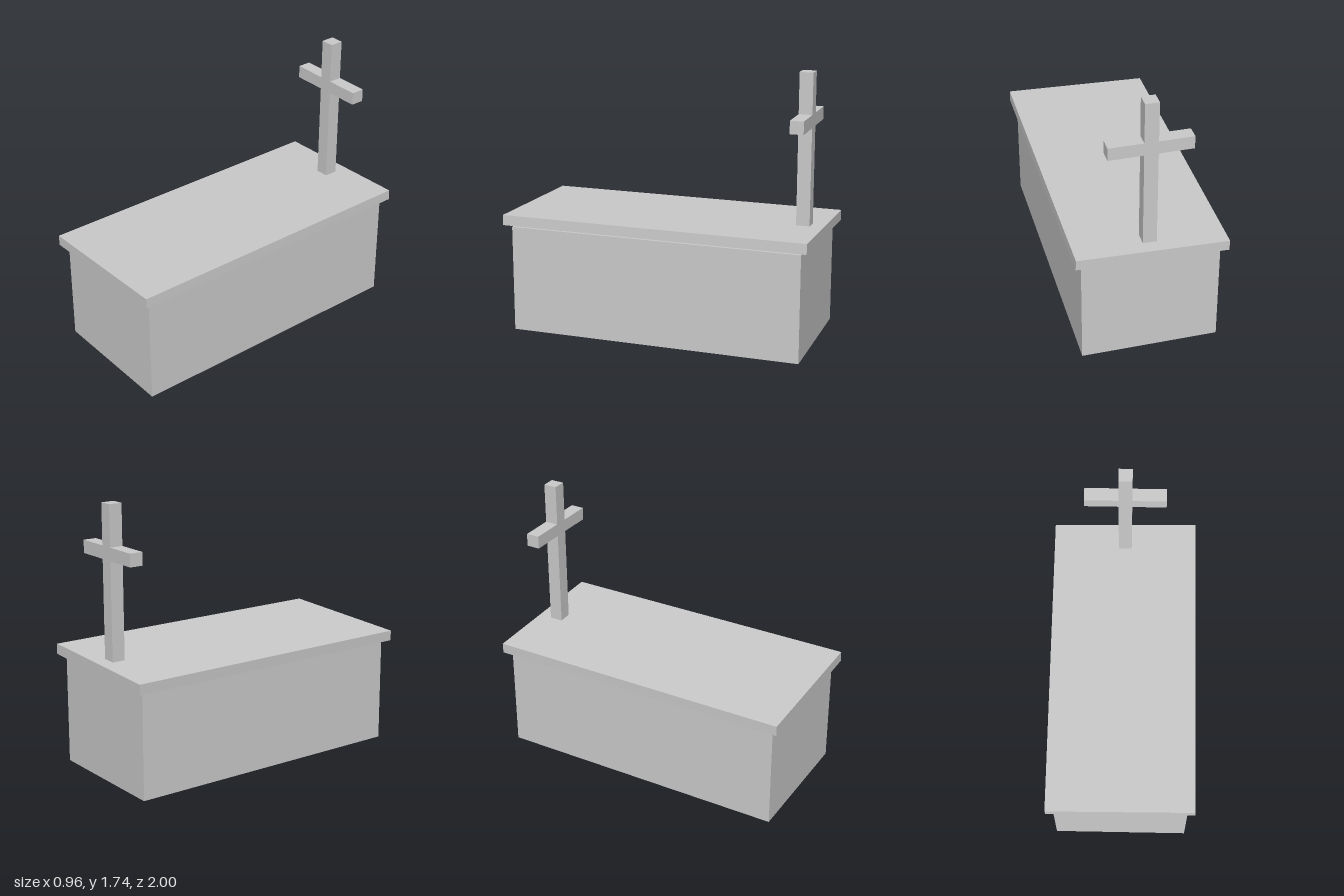
import * as THREE from 'three';

const material = new THREE.MeshStandardMaterial({ color: 0xcccccc });

// Named box, positioned by its centre
function box(name, [w, h, d], [x, y, z]) {
  const mesh = new THREE.Mesh(new THREE.BoxGeometry(w, h, d), material);
  mesh.name = name;
  mesh.position.set(x, y, z);
  return mesh;
}

export function createModel() {
  const tomb = new THREE.Group();
  tomb.name = 'tomb';

  // Stone chest
  const chestHeight = 0.697;
  tomb.add(box('chest', [0.87, chestHeight, 1.912], [0, chestHeight / 2, 0]));

  // Overhanging lid, tipped slightly to one side
  const lid = box('lid', [0.954, 0.067, 2], [-0.001, 0.733, 0]);
  lid.rotation.z = THREE.MathUtils.degToRad(2);
  tomb.add(lid);

  // Upright cross through the lid at the back end
  const cross = new THREE.Group();
  cross.name = 'cross';
  cross.position.set(-0.001, 0, -0.868);
  const top = 1.74;
  cross.add(
    box('crossPost', [0.087, top - chestHeight, 0.087], [0, (top + chestHeight) / 2, 0]),
    box('crossArms', [0.522, 0.083, 0.087], [0, 1.437, 0]),
  );
  tomb.add(cross);

  return tomb;
}
